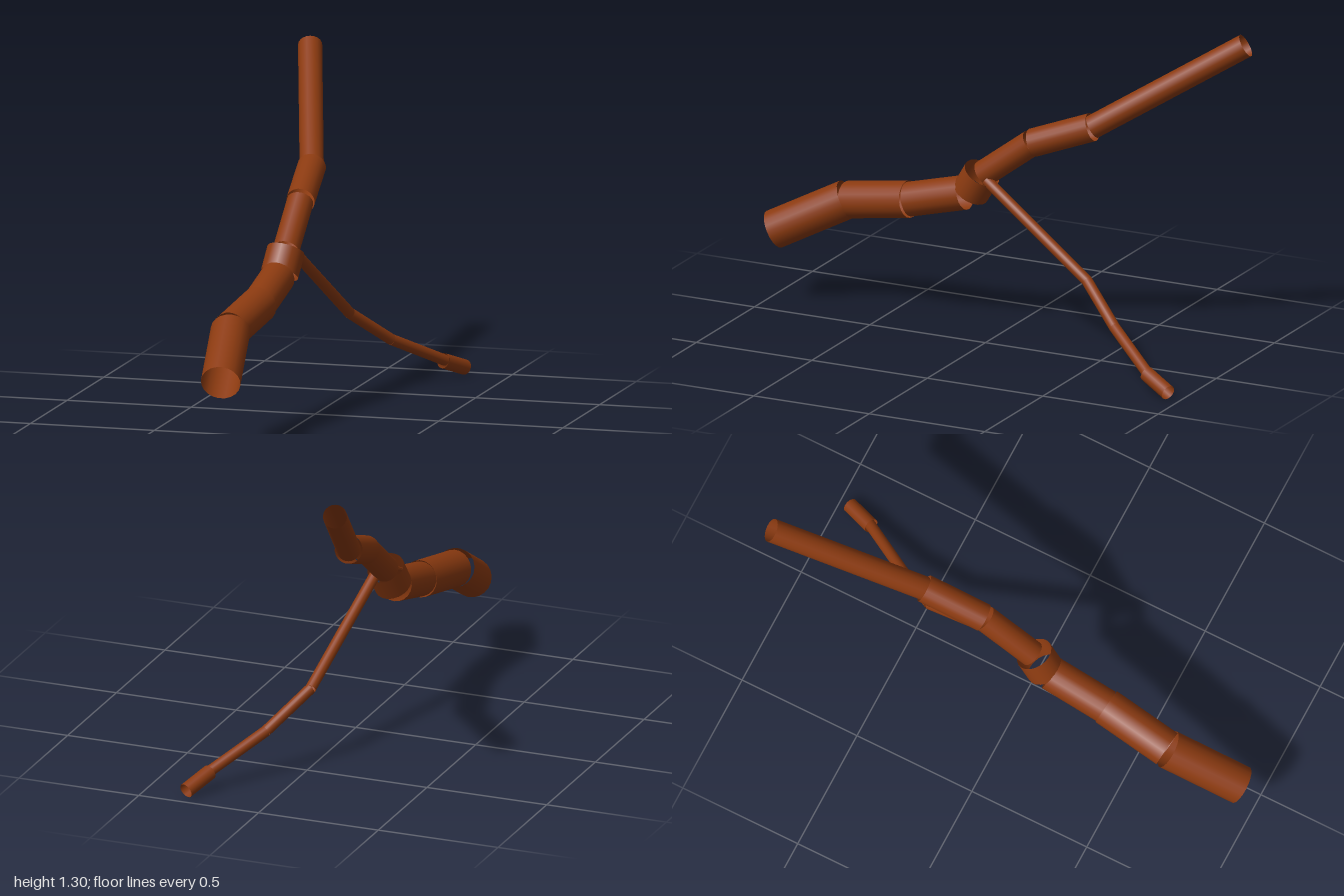
import * as THREE from 'three';

const UP = new THREE.Vector3(0, 1, 0);

// Open cylinder running from point a to point b
function tubeBetween(a, b, radius, name, material) {
  const start = new THREE.Vector3(...a);
  const dir = new THREE.Vector3(...b).sub(start);
  const geometry = new THREE.CylinderGeometry(radius, radius, dir.length(), 20, 1, true);
  const mesh = new THREE.Mesh(geometry, material);
  mesh.position.copy(start).addScaledVector(dir, 0.5);
  mesh.quaternion.setFromUnitVectors(UP, dir.normalize());
  mesh.name = name;
  return mesh;
}

export function createModel() {
  const model = new THREE.Group();
  model.name = 'branch';
  const bark = new THREE.MeshStandardMaterial({ color: 0x8b3a10, side: THREE.DoubleSide });

  // Each segment: start, end, radius
  const limbs = {
    mainLimb: [
      [[-0.095, 0.302, 0.962], [-0.142, 0.453, 0.67], 0.077],
      [[-0.142, 0.452, 0.665], [-0.112, 0.503, 0.385], 0.073],
      [[-0.112, 0.503, 0.385], [-0.108, 0.567, 0.143], 0.068],
      [[-0.108, 0.575, 0.117], [-0.098, 0.66, 0.064], 0.074], // fork collar
      [[-0.1, 0.658, 0.058], [-0.104, 0.813, -0.15], 0.052],
      [[-0.104, 0.813, -0.153], [-0.131, 0.904, -0.397], 0.056],
      [[-0.131, 0.904, -0.397], [-0.308, 1.268, -0.972], 0.047],
    ],
    sideTwig: [
      [[-0.07, 0.643, 0.03], [0.008, 0.325, -0.445], 0.022],
      [[0.008, 0.325, -0.445], [0.123, 0.195, -0.622], 0.022],
      [[0.123, 0.195, -0.622], [0.275, 0.08, -0.845], 0.022],
      [[0.27, 0.08, -0.835], [0.322, 0.036, -0.953], 0.03], // thicker tip
    ],
  };

  for (const [name, segments] of Object.entries(limbs)) {
    const limb = new THREE.Group();
    limb.name = name;
    segments.forEach(([a, b, r], i) => limb.add(tubeBetween(a, b, r, `${name}Segment${i + 1}`, bark)));
    model.add(limb);
  }
  return model;
}
